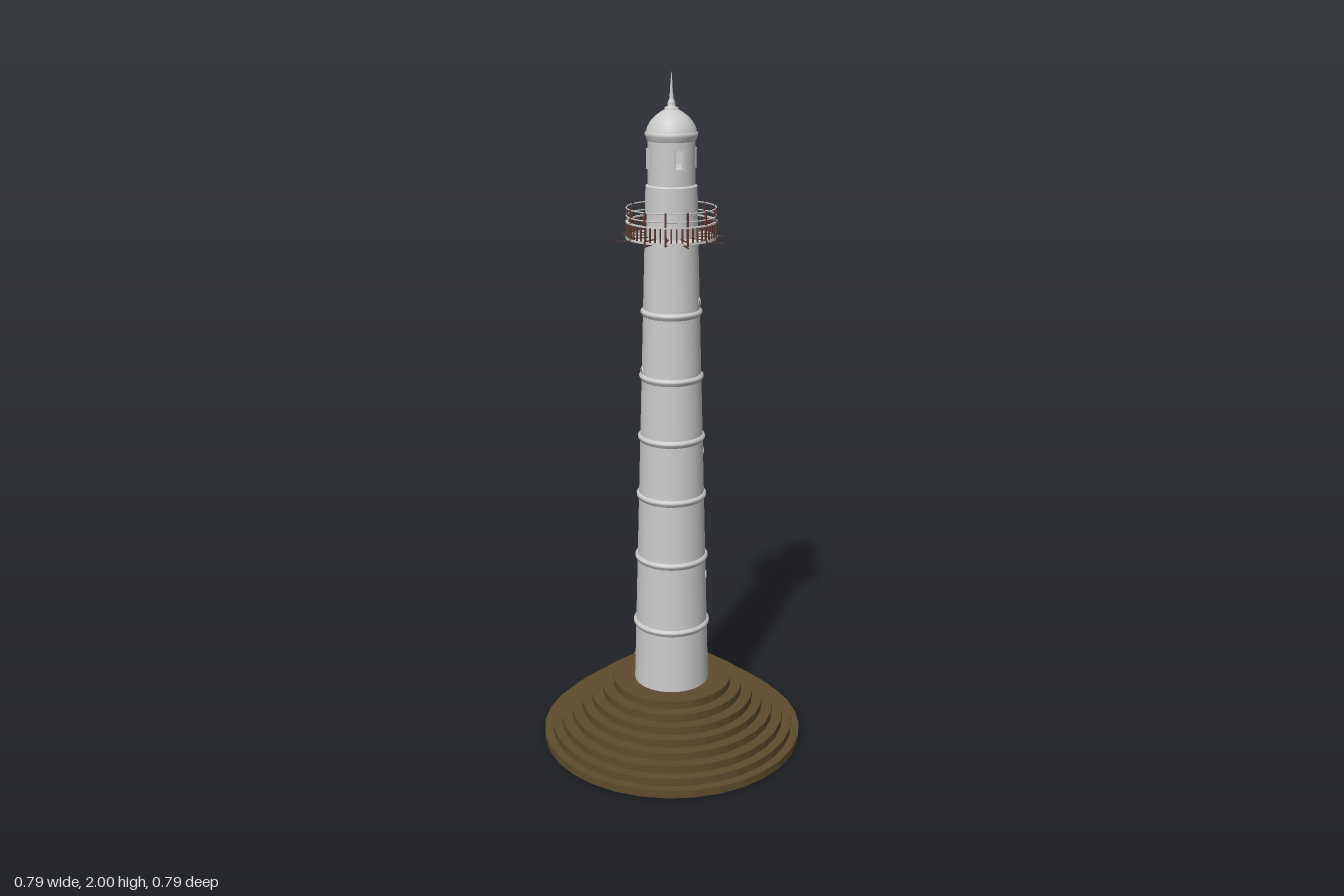
import * as THREE from 'three';

const mat = (color, extra = {}) => new THREE.MeshStandardMaterial({ color, ...extra });
const grey = mat(0xcccccc);
const greyThin = mat(0xcccccc, { side: THREE.DoubleSide });
const earth = mat(0x5e4c2c, { flatShading: true });
const sand = mat(0xc4a06c);
const brown = mat(0x5c3a34);
const dark = mat(0x2e2a28);
const wood = mat(0x6b5232);

function add(parent, name, geometry, material, x = 0, y = 0, z = 0) {
  const m = new THREE.Mesh(geometry, material);
  m.name = name;
  m.position.set(x, y, z);
  parent.add(m);
  return m;
}

// Group turned so that its +z points outward at the given angle (0 = front, 90 = +x)
function spoke(parent, name, degrees) {
  const g = new THREE.Group();
  g.name = name;
  g.rotation.y = THREE.MathUtils.degToRad(degrees);
  parent.add(g);
  return g;
}

const lathe = (pts, seg = 48) =>
  new THREE.LatheGeometry(pts.map(([r, y]) => new THREE.Vector2(r, y)), seg);
const towerRadius = y => 0.112 - (y - 0.19) * 0.0275;

// Flat ring with a rectangular section
const ring = (inner, outer, y, h) => lathe([
  [inner, y], [outer, y], [outer, y], [outer, y + h], [outer, y + h],
  [inner, y + h], [inner, y + h], [inner, y]]);

function buildMound(root) {
  const mound = new THREE.Group();
  mound.name = 'mound';
  root.add(mound);
  const radii = [0.395, 0.37, 0.342, 0.31, 0.278, 0.248, 0.214, 0.18];
  const h = 0.19 / radii.length;
  radii.forEach((r, i) =>
    add(mound, 'terrace', new THREE.CylinderGeometry(r, r, h, 32), earth, 0, h * (i + 0.5), 0));

  // Staircase climbing the back, ending in a landing at the door
  const n = 16, back = -0.396, top = -0.165, run = (top - back) / n;
  for (let i = 0; i < n; i++) {
    const z0 = back + run * i, z1 = -0.11, sh = 0.192 / n;
    add(mound, 'stair', new THREE.BoxGeometry(0.107, sh, z1 - z0), sand,
      -0.002, sh * (i + 0.5) - (i ? 0 : 0.0005) + 0.0005, (z0 + z1) / 2);
  }
}

function buildTower(tower) {
  add(tower, 'shaft', lathe([[towerRadius(0.18), 0.18], [0.075, 1.545]]), grey);

  // Moulded bands between the storeys
  for (const y of [0.38, 0.592, 0.787, 0.965, 1.147, 1.335]) {
    const r = towerRadius(y);
    add(tower, 'band', lathe([
      [r - 0.002, y - 0.012], [r + 0.003, y - 0.009], [r + 0.003, y - 0.004],
      [r + 0.007, y - 0.002], [r + 0.007, y + 0.004], [r + 0.002, y + 0.009], [r - 0.002, y + 0.01]]), grey);
  }

  // Round windows winding up the shaft: [angle, height]
  const portholes = [[180, 0.31], [65, 0.53], [120, 0.635], [80, 0.915], [122, 1.035],
    [260, 1.165], [60, 1.365], [90, 1.475]];
  for (const [a, y] of portholes) {
    const g = spoke(tower, 'porthole', a), r = towerRadius(y);
    add(g, 'portholeFrame', new THREE.TorusGeometry(0.011, 0.0025, 8, 20), grey, 0, y, r);
    const glass = add(g, 'portholeOpening', new THREE.CylinderGeometry(0.011, 0.011, 0.004, 20), dark, 0, y, r - 0.001);
    glass.rotation.x = Math.PI / 2;
  }

  // Entrance at the head of the stairs
  const door = spoke(tower, 'entrance', 180);
  add(door, 'door', new THREE.BoxGeometry(0.038, 0.08, 0.01), wood, 0, 0.23, 0.109);
  for (const s of [-1, 1])
    add(door, 'doorJamb', new THREE.BoxGeometry(0.005, 0.085, 0.014), grey, s * 0.021, 0.2325, 0.109);
  add(door, 'doorLintel', new THREE.BoxGeometry(0.047, 0.005, 0.014), grey, 0, 0.2725, 0.109);
}

function buildGallery(tower) {
  const gallery = new THREE.Group();
  gallery.name = 'gallery';
  tower.add(gallery);
  add(gallery, 'deck', ring(0.07, 0.128, 1.545, 0.006), greyThin);
  add(gallery, 'middleRail', ring(0.121, 0.128, 1.59, 0.004), grey);
  for (const y of [1.608, 1.63]) {
    const rail = add(gallery, 'rail', new THREE.TorusGeometry(0.125, 0.002, 6, 52), grey, 0, y, 0);
    rail.rotation.x = Math.PI / 2;
  }

  // Radial beams with a post at the end of each
  const n = 13;
  for (let i = 0; i < n; i++) {
    const g = spoke(gallery, 'galleryBay', (i * 360) / n);
    add(g, 'beam', new THREE.BoxGeometry(0.005, 0.012, 0.056), brown, 0, 1.547, 0.101);
    add(g, 'post', new THREE.BoxGeometry(0.005, 0.086, 0.005), brown, 0, 1.589, 0.125);
  }
  for (let i = 0; i < n * 4; i++) {
    const g = spoke(gallery, 'balusterBay', (i * 360) / (n * 4));
    add(g, 'baluster', new THREE.BoxGeometry(0.004, 0.042, 0.004), brown, 0, 1.57, 0.125);
  }
  // Thin rods reaching past the deck
  for (let i = 0; i < 8; i++) {
    const g = spoke(gallery, 'rodBay', i * 45 - 4);
    add(g, 'rod', new THREE.BoxGeometry(0.003, 0.003, 0.085), brown, 0, 1.543, 0.117);
  }
}

function buildLantern(tower) {
  add(tower, 'drum', lathe([[0.075, 1.54], [0.072, 1.69], [0.072, 1.69], [0.066, 1.694],
    [0.066, 1.694], [0.066, 1.74], [0.066, 1.74], [0, 1.74]]), grey);
  const hatch = spoke(tower, 'galleryDoor', 180);
  add(hatch, 'galleryDoorLeaf', new THREE.BoxGeometry(0.03, 0.065, 0.008), dark, 0, 1.584, 0.072);

  // Four curved wall pieces leave an opening on each side
  const half = Math.asin(0.0125 / 0.066);
  const sector = new THREE.Shape();
  sector.absarc(0, 0, 0.066, half, Math.PI / 2 - half, false);
  sector.absarc(0, 0, 0.056, Math.PI / 2 - half, half, true);
  const wall = new THREE.ExtrudeGeometry(sector, { depth: 0.05, bevelEnabled: false, curveSegments: 14 });
  wall.rotateX(-Math.PI / 2);
  for (let i = 0; i < 4; i++) {
    add(tower, 'lanternWall', wall, grey, 0, 1.74, 0).rotation.y = (i * Math.PI) / 2;
    const g = spoke(tower, 'windowFrame', i * 90);
    for (const s of [-1, 1])
      add(g, 'windowJamb', new THREE.BoxGeometry(0.003, 0.054, 0.006), grey, s * 0.014, 1.765, 0.065);
    for (const y of [1.7385, 1.7915])
      add(g, 'windowLedge', new THREE.BoxGeometry(0.031, 0.003, 0.006), grey, 0, y, 0.066);
  }

  // Wall head, cornice, dome
  add(tower, 'lanternHead', lathe([[0, 1.79], [0.066, 1.79], [0.066, 1.79], [0.066, 1.815]]), grey);
  add(tower, 'cornice', lathe([[0.064, 1.81], [0.069, 1.815], [0.069, 1.822], [0.073, 1.826],
    [0.073, 1.834], [0.068, 1.838]]), grey);
  add(tower, 'dome', lathe([[0.07, 1.834], [0.067, 1.848], [0.058, 1.864], [0.045, 1.878],
    [0.03, 1.889], [0.016, 1.897], [0, 1.9]]), grey);
  add(tower, 'finial', lathe([[0.019, 1.894], [0.019, 1.901], [0.01, 1.904], [0.011, 1.91],
    [0.009, 1.918], [0.005, 1.926], [0.006, 1.932], [0.004, 1.94], [0.003, 1.965], [0, 2]], 20), grey);
}

export function createModel() {
  const root = new THREE.Group();
  root.name = 'lighthouse';
  buildMound(root);
  const tower = new THREE.Group();
  tower.name = 'tower';
  tower.position.set(-0.004, 0, 0.007);
  root.add(tower);
  buildTower(tower);
  buildGallery(tower);
  buildLantern(tower);
  return root;
}
